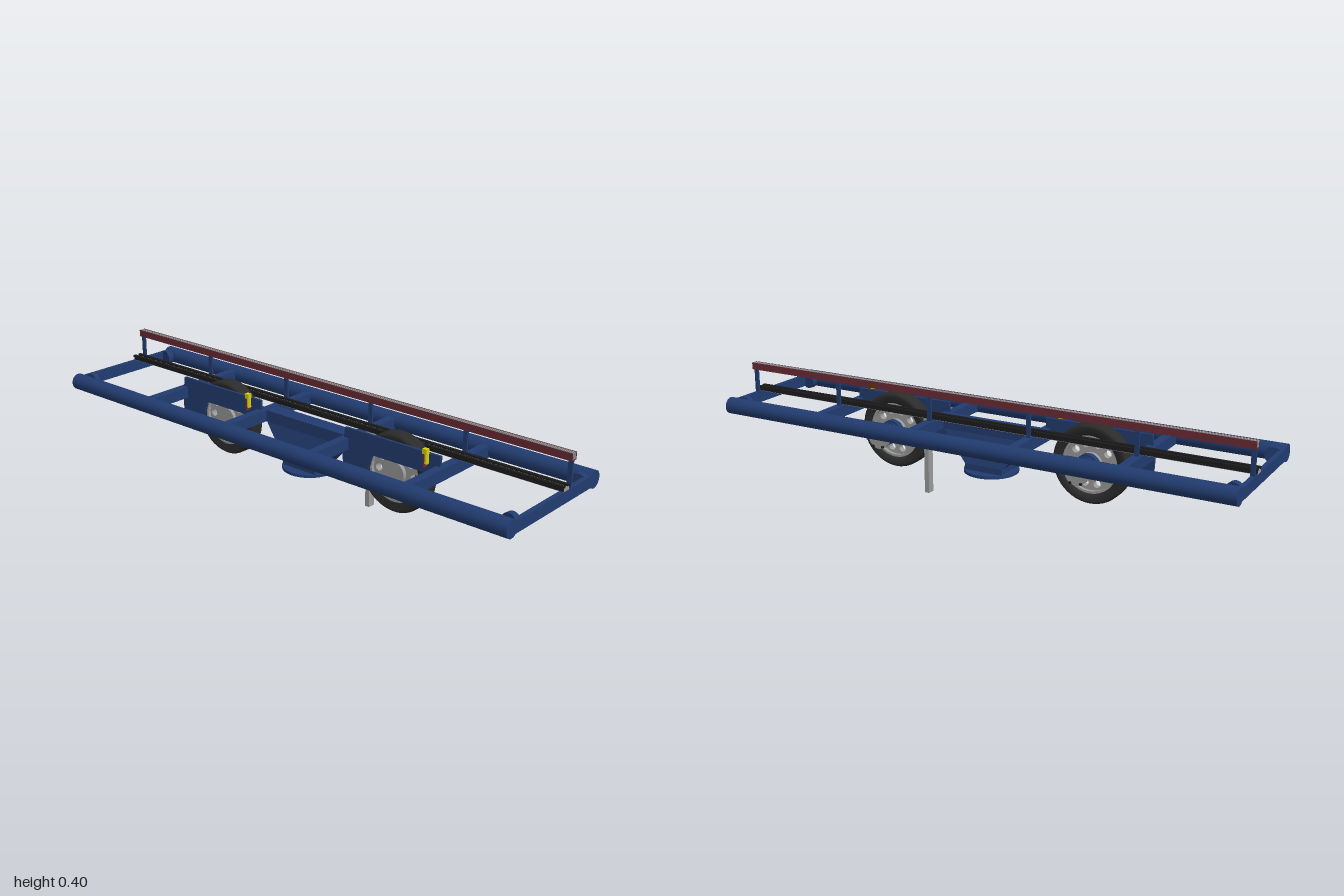
import * as THREE from 'three';

const mat = (name, color) => {
  const m = new THREE.MeshStandardMaterial({ color });
  m.name = name;
  return m;
};

export function createModel() {
  const root = new THREE.Group();
  root.name = 'wheeledCarrierFrame';
  const blue = mat('frameBlue', 0x223c70);
  const rubber = mat('tyreRubber', 0x2b2b2b);
  const grey = mat('metalGrey', 0x9a9a9a);
  const black = mat('railBlack', 0x1c1c1c);
  const red = mat('conductorRed', 0x6a2c34);
  const yellow = mat('sensorYellow', 0xd8d010);

  const add = (parent, name, geo, material, x = 0, y = 0, z = 0) => {
    const mesh = new THREE.Mesh(geo, material);
    mesh.name = name;
    mesh.position.set(x, y, z);
    parent.add(mesh);
    return mesh;
  };
  // box given by its min and max on each axis
  const box = (parent, name, m, x0, x1, y0, y1, z0, z1) =>
    add(parent, name, new THREE.BoxGeometry(x1 - x0, y1 - y0, z1 - z0), m,
      (x0 + x1) / 2, (y0 + y1) / 2, (z0 + z1) / 2);
  // cylinder lying along x
  const axle = (parent, name, m, r, x0, x1, y, z, sides = 32) =>
    add(parent, name, new THREE.CylinderGeometry(r, r, x1 - x0, sides).rotateZ(Math.PI / 2), m, (x0 + x1) / 2, y, z);
  // outline drawn as (z, y), extruded along x
  const plate = (parent, name, m, shape, x0, x1) => {
    const g = new THREE.ExtrudeGeometry(shape, { depth: x1 - x0, bevelEnabled: false, curveSegments: 16 });
    g.rotateY(-Math.PI / 2);
    g.translate(x1, 0, 0);
    return add(parent, name, g, m);
  };

  // Main frame
  for (const s of [-1, 1]) {
    add(root, 'sideTube', new THREE.CylinderGeometry(0.031, 0.031, 2, 20).rotateX(Math.PI / 2), blue, s * 0.241, 0.265, 0);
    box(root, 'endBeam', blue, -0.24, 0.24, 0.242, 0.285, s * 0.992 - 0.008, s * 0.992 + 0.008);
    for (const e of [-1, 1]) {
      const lug = add(root, 'endLug', new THREE.CylinderGeometry(0.03, 0.03, 0.022, 20).rotateZ(Math.PI / 2), blue, s * 0.197, 0.265, e * 0.968);
      lug.rotation.y = s * e * 0.15;
    }
  }
  for (const z of [-0.6, -0.2, 0.2, 0.6])
    box(root, 'crossBeam', blue, -0.22, 0.22, 0.242, 0.285, z - 0.016, z + 0.016);
  box(root, 'spine', blue, -0.03, 0.03, 0.242, 0.285, -0.2, 0.2);

  // Central pedestal, narrow and long above, wide and short below
  const taper = new THREE.BoxGeometry(1, 1, 1).toNonIndexed();
  const p = taper.attributes.position;
  for (let i = 0; i < p.count; i++) {
    const top = p.getY(i) > 0;
    p.setXYZ(i, Math.sign(p.getX(i)) * (top ? 0.027 : 0.06), top ? 0.243 : 0.135, Math.sign(p.getZ(i)) * (top ? 0.185 : 0.075));
  }
  taper.computeVertexNormals();
  add(root, 'pedestal', taper, blue);
  box(root, 'pedestalFoot', blue, -0.06, 0.06, 0.112, 0.135, -0.075, 0.075);
  add(root, 'footDisc', new THREE.CylinderGeometry(0.1, 0.1, 0.01, 40), blue, 0, 0.108, 0);

  // Tyre profile as (radius, width)
  const tyreProfile = [[0.104, -0.026], [0.13, -0.03], [0.137, -0.028], [0.142, -0.021],
    [0.142, 0.021], [0.137, 0.028], [0.13, 0.03], [0.104, 0.026], [0.104, -0.026]]
    .map(([r, w]) => new THREE.Vector2(r, w));

  // Drive units: wheel, motor, suspension arm and sensor
  for (const z of [-0.4, 0.4]) {
    const unit = new THREE.Group();
    unit.name = 'driveUnit';
    unit.position.set(0, 0.2, z);
    root.add(unit);

    add(unit, 'tyre', new THREE.LatheGeometry(tyreProfile, 48).rotateZ(-Math.PI / 2), rubber);
    const disc = new THREE.Shape().absarc(0, 0, 0.105, 0, Math.PI * 2);
    for (let i = 0; i < 10; i++) {
      const a = (i / 10) * Math.PI * 2;
      disc.holes.push(new THREE.Path().absarc(0.074 * Math.cos(a), 0.074 * Math.sin(a), 0.014, 0, Math.PI * 2, true));
    }
    plate(unit, 'wheelDisc', grey, disc, -0.012, 0.012);
    const ring = new THREE.Shape().absarc(0, 0, 0.106, 0, Math.PI * 2);
    ring.holes.push(new THREE.Path().absarc(0, 0, 0.096, 0, Math.PI * 2, true));
    plate(unit, 'rim', grey, ring, -0.025, 0.025);
    axle(unit, 'hub', grey, 0.042, -0.026, 0.03, 0, 0);

    // Motor with ribbed body, terminal box and grey fan cover
    axle(unit, 'motorFlange', blue, 0.043, 0.028, 0.05, 0, 0);
    axle(unit, 'motorBody', blue, 0.036, 0.05, 0.118, 0, 0);
    for (let i = 0; i < 4; i++) axle(unit, 'motorRib', blue, 0.04, 0.06 + i * 0.014, 0.065 + i * 0.014, 0, 0);
    box(unit, 'terminalBox', blue, 0.055, 0.102, -0.028, 0.03, 0.02, 0.075);
    axle(unit, 'motorCover', grey, 0.043, 0.116, 0.132, 0, 0);
    axle(unit, 'motorCap', grey, 0.036, 0.132, 0.137, 0, 0);
    for (let i = 0; i < 6; i++) {
      const a = (i / 6) * Math.PI * 2;
      axle(unit, 'coverBolt', black, 0.005, 0.132, 0.139, 0.038 * Math.sin(a), 0.038 * Math.cos(a), 8);
    }

    // Suspension arm beside the wheel, with a rounded tail towards the back
    const arm = new THREE.Shape();
    arm.moveTo(-0.2, 0.122).lineTo(0.2, 0.122).lineTo(0.2, 0.05).lineTo(-0.08, 0.05)
      .lineTo(-0.11, -0.042).lineTo(-0.165, -0.042)
      .quadraticCurveTo(-0.21, -0.035, -0.21, 0.015).lineTo(-0.21, 0.05);
    plate(unit, 'suspensionArm', blue, arm, -0.044, -0.034);

    // Sensor on its bracket
    box(unit, 'sensorBracket', red, -0.064, -0.044, 0.075, 0.122, 0.143, 0.149);
    box(unit, 'sensorHead', yellow, -0.063, -0.047, 0.122, 0.14, 0.14, 0.158);
    add(unit, 'sensorBody', new THREE.CylinderGeometry(0.008, 0.008, 0.036, 16), yellow, -0.054, 0.106, 0.152);
  }

  // Lower guide channel with black lips
  box(root, 'guideChannel', grey, 0.048, 0.077, 0.284, 0.298, -1, 1);
  for (const x of [0.05, 0.075]) {
    box(root, 'channelLip', black, x - 0.006, x + 0.006, 0.296, 0.304, -1, 1);
    box(root, 'channelSide', black, x - 0.004, x + 0.004, 0.286, 0.297, -0.999, 0.999);
  }

  // Hanging probe arm
  box(root, 'probeArm', grey, 0.048, 0.077, 0, 0.285, 0.22, 0.238);

  // Upper conductor rail on posts
  for (const z of [-0.99, -0.6, -0.2, 0.2, 0.6, 0.99])
    box(root, 'railPost', blue, 0.092, 0.1, 0.28, 0.377, z - 0.008, z + 0.008);
  box(root, 'conductorBase', red, 0.083, 0.109, 0.376, 0.38, -1, 1);
  for (let i = 0; i < 6; i++) {
    const x = 0.0842 + i * 0.0047;
    box(root, 'conductorFin', i === 0 || i === 5 ? red : grey, x - 0.001, x + 0.001, 0.379, 0.402, -1, 1);
  }
  return root;
}
